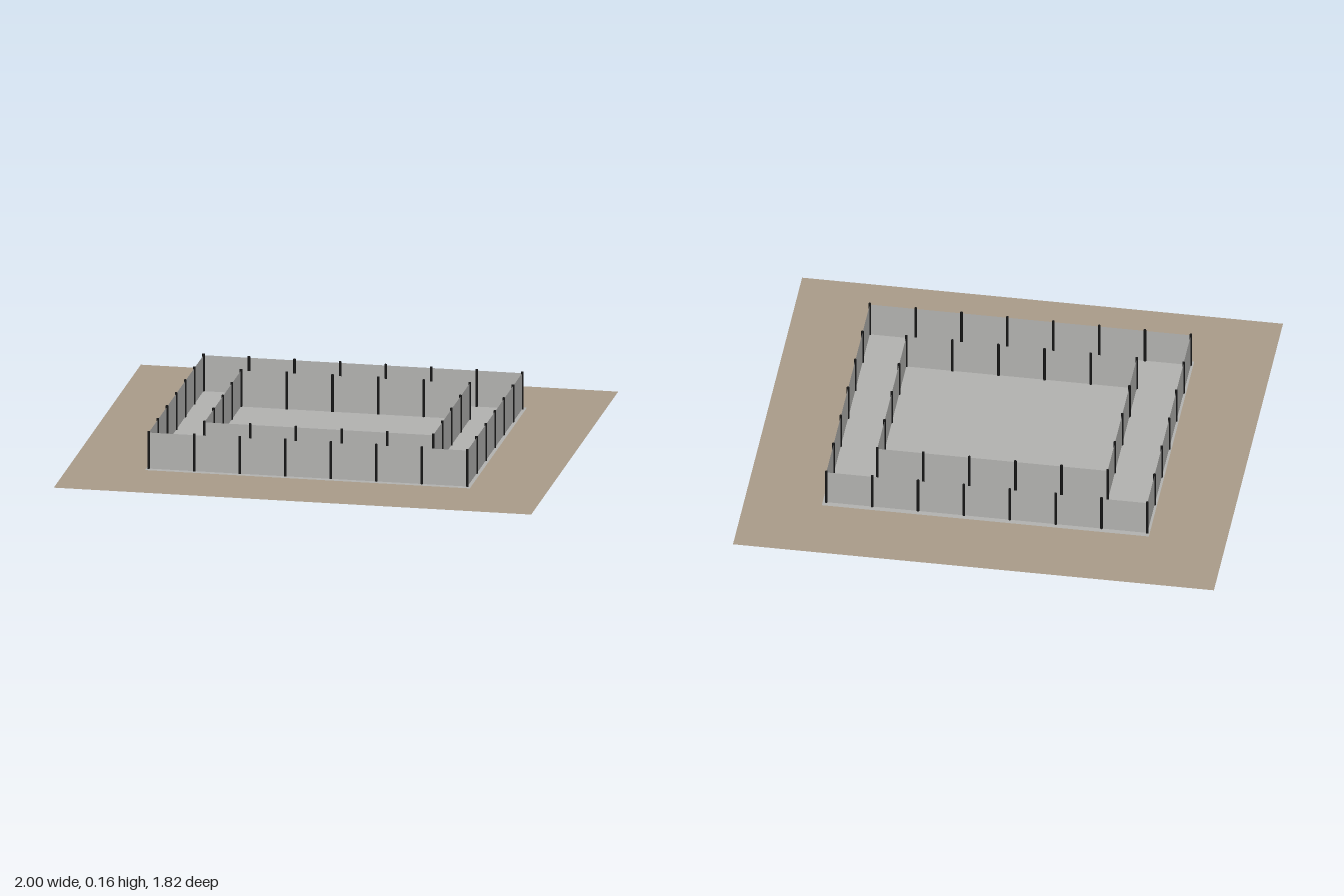
import * as THREE from 'three';

const mat = (name, color, side = THREE.FrontSide) => {
  const m = new THREE.MeshStandardMaterial({ color, side });
  m.name = name;
  return m;
};

export function createModel() {
  const earth = mat('earth brown', 0xab9d8b, THREE.DoubleSide);
  const concrete = mat('concrete grey', 0xb4b4b2, THREE.DoubleSide);
  const black = mat('post black', 0x161616);

  const model = new THREE.Group();
  const add = (parent, name, geometry, material, x, y, z) => {
    const mesh = new THREE.Mesh(geometry, material);
    mesh.name = name;
    mesh.position.set(x, y, z);
    parent.add(mesh);
    return mesh;
  };

  // Flat ground and the paved area inside the fences
  const sheet = (w, d) => new THREE.PlaneGeometry(w, d).rotateX(-Math.PI / 2);
  add(model, 'ground', sheet(2, 1.824), earth, 0, 0, 0);
  add(model, 'pavedFloor', sheet(1.36, 1.196), concrete, 0, 0.003, 0);

  // A rectangular fence: thin panels between evenly spaced posts
  const base = 0.003, panelTop = 0.157, postTop = 0.163;
  const panelH = panelTop - base;
  const postGeo = new THREE.CylinderGeometry(0.0055, 0.0055, postTop - base, 8);

  function fence(name, x0, x1, z0, z1, nx, nz) {
    const group = new THREE.Group();
    group.name = name;
    const run = (ax, az, bx, bz, n) => {
      const length = Math.hypot(bx - ax, bz - az) / n;
      const turn = Math.atan2(az - bz, bx - ax);
      for (let i = 0; i < n; i++) {
        const at = t => [ax + (bx - ax) * t / n, az + (bz - az) * t / n];
        const [px, pz] = at(i);
        add(group, 'post', postGeo, black, px, (base + postTop) / 2, pz);
        const [mx, mz] = at(i + 0.5);
        add(group, 'panel', new THREE.PlaneGeometry(length, panelH), concrete,
          mx, base + panelH / 2, mz).rotation.y = turn;
      }
    };
    run(x0, z1, x1, z1, nx);
    run(x1, z1, x1, z0, nz);
    run(x1, z0, x0, z0, nx);
    run(x0, z0, x0, z1, nz);
    model.add(group);
  }

  fence('outerFence', -0.67, 0.665, -0.575, 0.573, 7, 6);
  fence('innerFence', -0.475, 0.483, -0.385, 0.382, 5, 4);

  return model;
}
